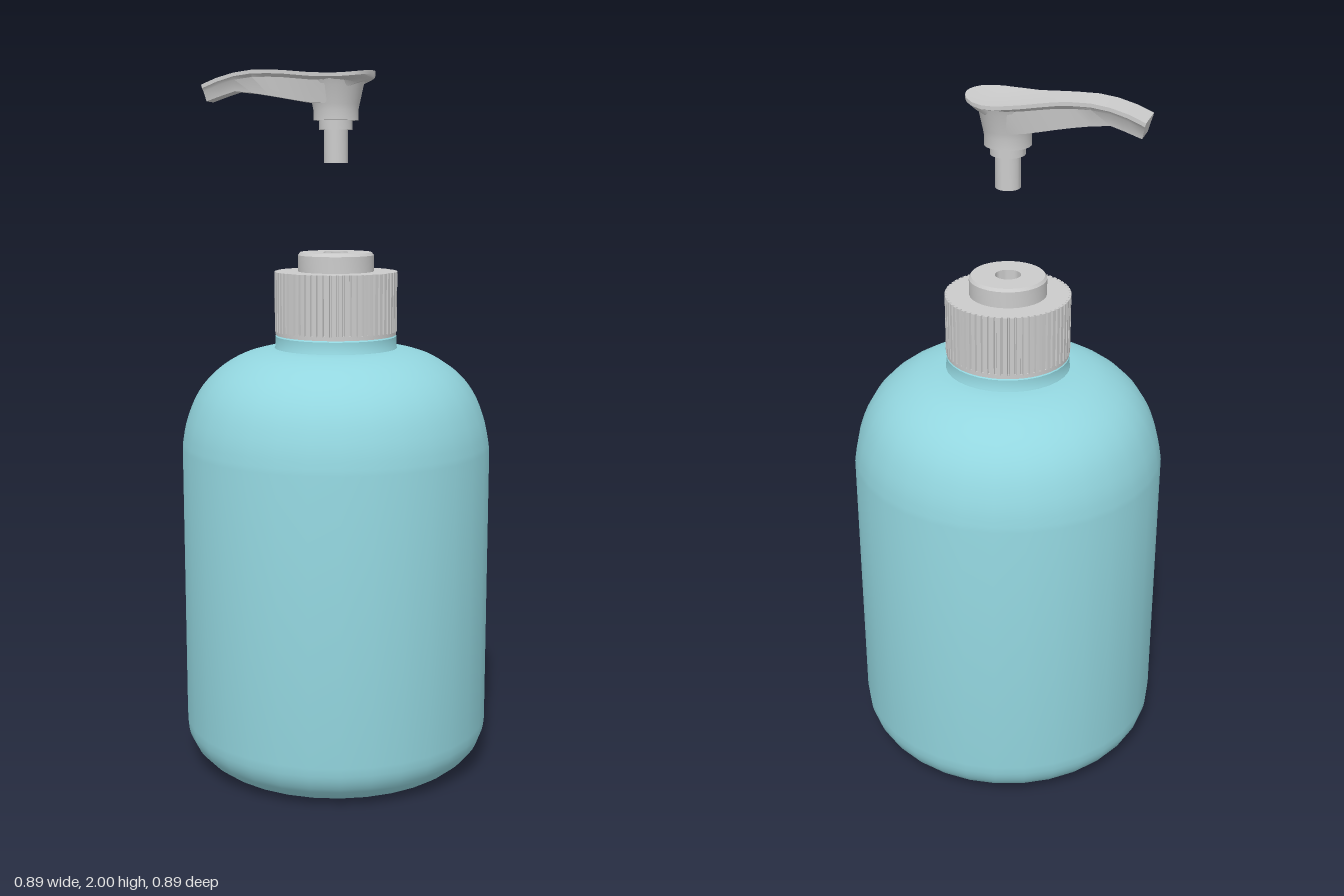
import * as THREE from 'three';
import { toCreasedNormals } from 'three/addons/utils/BufferGeometryUtils.js';

const grey = new THREE.MeshStandardMaterial({ color: 0xcccccc });
const teal = new THREE.MeshStandardMaterial({ color: 0x93d6df });

function add(group, name, geometry, material, crease = 0.6) {
  const mesh = new THREE.Mesh(toCreasedNormals(geometry, crease), material);
  mesh.name = name;
  group.add(mesh);
  return mesh;
}

const lathe = (points, segments = 32) =>
  new THREE.LatheGeometry(points.map(([r, y]) => new THREE.Vector2(r, y)), segments);

// Smooth curve through [x, y] points
const smooth = (points, count) =>
  new THREE.SplineCurve(points.map(([x, y]) => new THREE.Vector2(x, y)))
    .getPoints(count).map((p) => [p.x, p.y]);

// Pump head: cross-sections swept along x, a thin lip above a narrower body
function pumpHeadGeometry() {
  // x, half width, top height, bottom height
  const stations = [
    [-0.373, 0.052, 1.960, 1.915], [-0.33, 0.051, 1.978, 1.930], [-0.28, 0.051, 1.992, 1.942],
    [-0.23, 0.051, 1.999, 1.937], [-0.18, 0.052, 1.999, 1.929], [-0.14, 0.057, 1.997, 1.922],
    [-0.10, 0.066, 1.993, 1.915], [-0.06, 0.078, 1.989, 1.909], [-0.02, 0.092, 1.987, 1.907],
    [0.01, 0.100, 1.986, 1.930], [0.04, 0.102, 1.987, 1.950], [0.07, 0.089, 1.990, 1.962],
    [0.09, 0.068, 1.993, 1.970], [0.103, 0.040, 1.995, 1.975], [0.109, 0.012, 1.996, 1.980],
  ];
  const positions = [], index = [], across = 8;
  const rings = stations.map(([x, w, top, bottom]) => {
    const ring = [];
    const put = (z, y) => ring.push([x + (x < -0.3 ? (top - y) * 0.25 : 0), y, z]);
    const dish = 0.07 * Math.max(0, w - 0.052);
    for (let i = 0; i <= across; i++) {
      const t = 1 - (2 * i) / across;
      put(w * t, top - dish * (1 - t * t));
    }
    const body = x < 0 ? 0.84 : 0.72;
    put(-w, top - 0.010);
    put(-w * body, top - 0.019);
    put(-w * body * 0.86, bottom);
    put(w * body * 0.86, bottom);
    put(w * body, top - 0.019);
    put(w, top - 0.010);
    return ring;
  });
  const n = rings[0].length;
  rings.forEach((ring) => ring.forEach((p) => positions.push(...p)));
  for (let r = 0; r < rings.length - 1; r++) {
    for (let i = 0; i < n; i++) {
      const j = (i + 1) % n, a = r * n + i, b = r * n + j;
      index.push(a, a + n, b, b, a + n, b + n);
    }
  }
  // Close both ends with a fan around the middle of the ring
  [0, rings.length - 1].forEach((r) => {
    const center = positions.length / 3;
    positions.push(...[0, 1, 2].map((k) => rings[r].reduce((s, p) => s + p[k], 0) / n));
    for (let i = 0; i < n; i++) {
      const a = r * n + i, b = r * n + ((i + 1) % n);
      index.push(center, r ? b : a, r ? a : b);
    }
  });
  const g = new THREE.BufferGeometry();
  g.setAttribute('position', new THREE.Float32BufferAttribute(positions, 3));
  g.setIndex(index);
  return g;
}

// Ribbed outline of the screw cap
function ribbedCapGeometry(ribs, outer, inner, height) {
  const points = [];
  for (let i = 0; i < ribs; i++) {
    [[0, outer], [0.6, outer], [0.7, inner], [0.9, inner]].forEach(([f, r]) => {
      const a = ((i + f) / ribs) * Math.PI * 2;
      points.push(new THREE.Vector2(Math.cos(a) * r, Math.sin(a) * r));
    });
  }
  return new THREE.ExtrudeGeometry(new THREE.Shape(points), { depth: height, bevelEnabled: false })
    .rotateX(-Math.PI / 2);
}

export function createModel() {
  const model = new THREE.Group();
  model.name = 'soapDispenser';

  // Bottle: recessed base, rounded foot, straight wall, domed shoulder, neck
  const foot = smooth([[0.335, 0], [0.377, 0.014], [0.418, 0.05], [0.439, 0.09], [0.445, 0.13]], 12);
  const shoulder = smooth([[0.445, 0.94], [0.432, 1.01], [0.40, 1.09], [0.35, 1.152],
    [0.28, 1.198], [0.215, 1.219], [0.176, 1.224]], 20);
  const base = smooth([[0, 0.05], [0.18, 0.046], [0.27, 0.025], [0.31, 0.004], [0.335, 0]], 12);
  add(model, 'bottle', lathe([...base, ...foot.slice(1), ...shoulder,
    [0.174, 1.228], [0.174, 1.258], [0.168, 1.264], [0, 1.264]]), teal);

  // Screw cap
  const cap = new THREE.Group();
  cap.name = 'screwCap';
  model.add(cap);
  add(cap, 'ribbedRing', ribbedCapGeometry(60, 0.175, 0.168, 0.17), grey, 0.3).position.y = 1.272;
  add(cap, 'capRim', lathe([[0, 1.262], [0.173, 1.262], [0.173, 1.274], [0, 1.274]], 48), grey);
  add(cap, 'collar', lathe([[0.108, 1.44], [0.108, 1.488], [0.102, 1.496],
    [0.036, 1.496], [0.036, 1.45], [0, 1.45]]), grey);

  // Pump, lifted clear of the cap
  const pump = new THREE.Group();
  pump.name = 'pump';
  model.add(pump);
  add(pump, 'stem', lathe([[0, 1.745], [0.034, 1.745], [0.034, 1.836], [0.047, 1.836],
    [0.047, 1.862], [0.063, 1.862], [0.063, 1.89], [0.066, 1.905], [0.077, 1.955],
    [0.083, 1.972], [0, 1.976]]), grey);
  add(pump, 'pumpHead', pumpHeadGeometry(), grey);
  return model;
}
